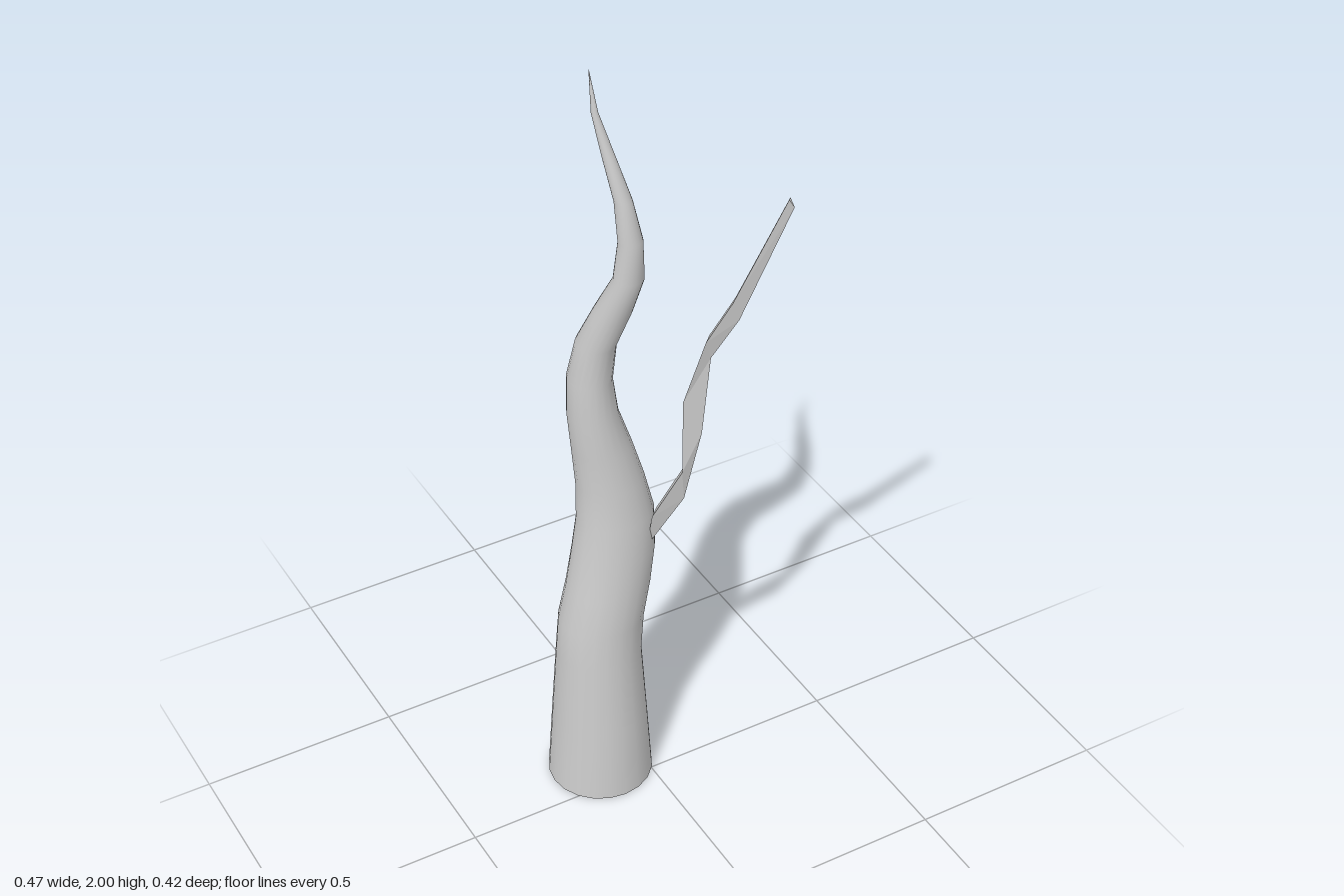
import * as THREE from 'three';

// Skin a stack of rings (each counterclockwise seen from above) and cap both ends.
function loft(rings) {
  const n = rings[0].length;
  const points = rings.flat();
  const index = [];
  for (let r = 0; r < rings.length - 1; r++) {
    for (let i = 0; i < n; i++) {
      const a = r * n + i, b = r * n + (i + 1) % n;
      index.push(a, b, b + n, a, b + n, a + n);
    }
  }
  // Caps have their own vertices so their rims stay sharp.
  const cap = (ring, up) => {
    const start = points.length;
    points.push(...ring);
    for (let i = 1; i < n - 1; i++) {
      if (up) index.push(start, start + i, start + i + 1);
      else index.push(start, start + i + 1, start + i);
    }
  };
  cap(rings[0], false);
  cap(rings[rings.length - 1], true);
  const geometry = new THREE.BufferGeometry().setFromPoints(points);
  geometry.setIndex(index);
  geometry.computeVertexNormals();
  return geometry;
}

// Swaying, tapering trunk: [height, centre x, centre z, radius x, radius z].
function trunkGeometry() {
  const sections = [
    [0, -0.103, -0.08, 0.132, 0.132],
    [0.2, -0.103, -0.08, 0.119, 0.119],
    [0.4, -0.103, -0.08, 0.106, 0.104],
    [0.5, -0.095, -0.08, 0.107, 0.099],
    [0.6, -0.074, -0.08, 0.106, 0.094],
    [0.7, -0.059, -0.08, 0.105, 0.088],
    [0.8, -0.052, -0.082, 0.097, 0.08],
    [0.9, -0.062, -0.088, 0.084, 0.073],
    [1.0, -0.08, -0.093, 0.073, 0.067],
    [1.1, -0.1, -0.098, 0.06, 0.063],
    [1.2, -0.105, -0.1, 0.052, 0.058],
    [1.3, -0.094, -0.087, 0.046, 0.052],
    [1.4, -0.07, -0.05, 0.044, 0.046],
    [1.5, -0.05, -0.012, 0.036, 0.034],
    [1.6, -0.049, -0.005, 0.029, 0.026],
    [1.7, -0.06, -0.017, 0.021, 0.02],
    [1.8, -0.079, -0.045, 0.015, 0.014],
    [1.9, -0.098, -0.07, 0.008, 0.008],
    [2.0, -0.105, -0.08, 0.0005, 0.0005],
  ];
  const sides = 20;
  return loft(sections.map(([y, cx, cz, rx, rz]) =>
    Array.from({ length: sides }, (_, i) => {
      const t = (i / sides) * Math.PI * 2;
      return new THREE.Vector3(cx + rx * Math.cos(t), y, cz - rz * Math.sin(t));
    })));
}

// Three-sided branch growing along the x = z diagonal, flat side facing inward:
// [inner height, inner reach, outer height, outer reach, half width, sideways offset].
function branchGeometry() {
  const sections = [
    [0.81, 0.0, 0.705, -0.012, 0.013, 0.018],
    [0.96, 0.052, 0.87, 0.052, 0.013, 0.016],
    [1.16, 0.052, 1.07, 0.081, 0.012, 0.016],
    [1.33, 0.087, 1.28, 0.093, 0.011, 0.02],
    [1.45, 0.13, 1.4, 0.139, 0.009, 0.014],
    [1.735, 0.213, 1.715, 0.221, 0.004, 0.011],
  ];
  return loft(sections.map(([yi, inner, yo, outer, w, c]) => [
    new THREE.Vector3(inner + c + w, yi, inner - c - w),
    new THREE.Vector3(inner + c - w, yi, inner - c + w),
    new THREE.Vector3(outer + c, yo, outer - c),
  ]));
}

export function createModel() {
  const model = new THREE.Group();
  model.name = 'bareTree';

  const trunk = new THREE.Mesh(
    trunkGeometry(),
    new THREE.MeshStandardMaterial({ color: 0xcccccc }));
  trunk.name = 'trunk';

  const branch = new THREE.Mesh(
    branchGeometry(),
    new THREE.MeshStandardMaterial({ color: 0xcccccc, flatShading: true }));
  branch.name = 'branch';

  model.add(trunk, branch);
  return model;
}
